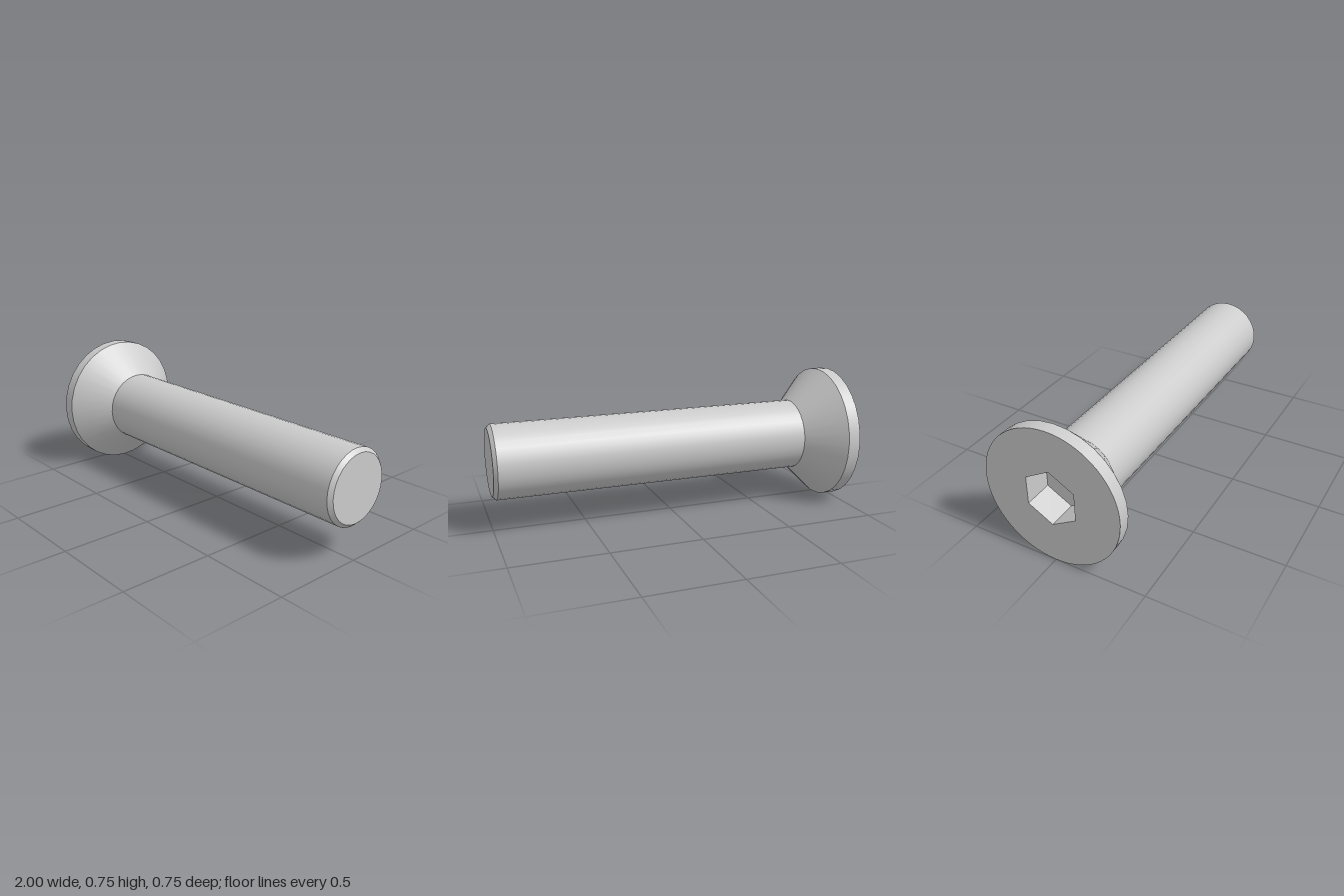
import * as THREE from 'three';

const SIDES = 32;
const HEAD_R = 0.377, SHAFT_R = 0.2, TIP_R = 0.18;
const HEX_R = 0.154, HEX_DEPTH = 0.155;
const X = { face: -1, rim: -0.93, neck: -0.75, chamfer: 0.98, tip: 1 };

export function createModel() {
  const model = new THREE.Group();
  const bolt = new THREE.Group();
  bolt.name = 'bolt';
  bolt.position.y = 0.378;
  model.add(bolt);

  const grey = new THREE.MeshStandardMaterial({ color: 0xcccccc });
  const hexGrey = new THREE.MeshStandardMaterial({ color: 0xcccccc, flatShading: true, side: THREE.DoubleSide });
  const add = (name, geometry, material = grey) => {
    const mesh = new THREE.Mesh(geometry, material);
    mesh.name = name;
    bolt.add(mesh);
  };

  // Turned bands along x, kept separate so the edges between them stay sharp
  const band = (name, x0, r0, x1, r1) => add(name, new THREE.LatheGeometry(
    [new THREE.Vector2(r0, x0), new THREE.Vector2(r1, x1)], SIDES).rotateZ(-Math.PI / 2));
  band('headRim', X.face, HEAD_R, X.rim, HEAD_R);
  band('headCone', X.rim, HEAD_R, X.neck, SHAFT_R);
  band('shaft', X.neck, SHAFT_R, X.chamfer, SHAFT_R);
  band('tipChamfer', X.chamfer, SHAFT_R, X.tip, TIP_R);

  // Flat end of the shaft
  add('tipFace', new THREE.CircleGeometry(TIP_R, SIDES).rotateY(Math.PI / 2).translate(X.tip, 0, 0));

  // Head face with a hexagonal opening, corners up and down
  const face = new THREE.Shape().absarc(0, 0, HEAD_R, 0, Math.PI * 2);
  const corners = Array.from({ length: 6 }, (_, i) => {
    const a = Math.PI / 2 + i * Math.PI / 3;
    return new THREE.Vector2(HEX_R * Math.cos(a), HEX_R * Math.sin(a));
  });
  face.holes.push(new THREE.Path(corners));
  add('headFace', new THREE.ShapeGeometry(face, SIDES).rotateY(-Math.PI / 2).translate(X.face, 0, 0));

  // Socket walls and floor
  add('socketWalls', new THREE.CylinderGeometry(HEX_R, HEX_R, HEX_DEPTH, 6, 1, true, Math.PI / 2)
    .rotateZ(Math.PI / 2).translate(X.face + HEX_DEPTH / 2, 0, 0), hexGrey);
  add('socketFloor', new THREE.CircleGeometry(HEX_R, 6, Math.PI / 2)
    .rotateY(-Math.PI / 2).translate(X.face + HEX_DEPTH, 0, 0), hexGrey);

  return model;
}
